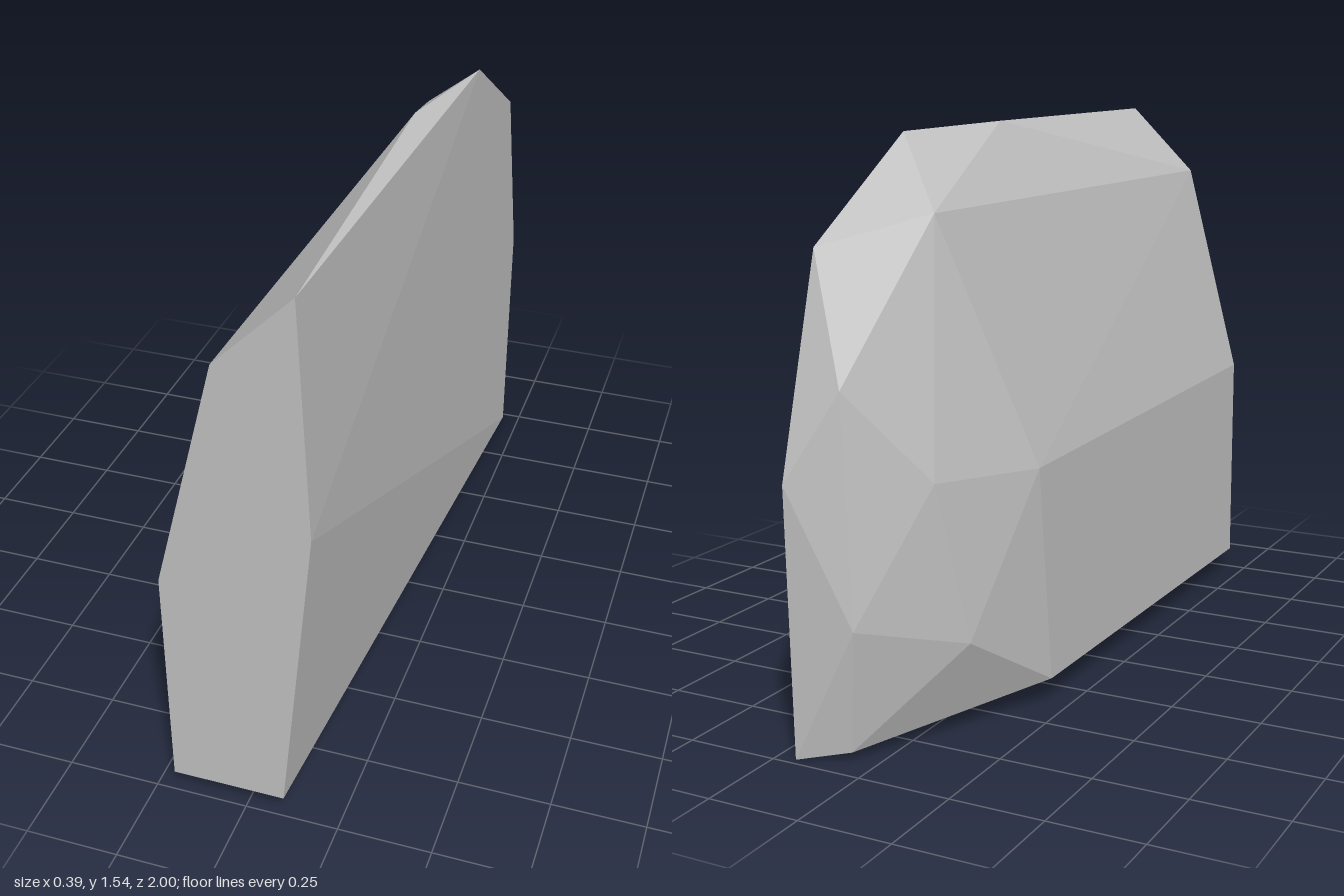
import * as THREE from 'three';
import { ConvexGeometry } from 'three/addons/geometries/ConvexGeometry.js';

const v = ([x, y, z]) => new THREE.Vector3(x, y, z);

export function createModel() {
  const group = new THREE.Group();
  group.name = 'rockSlab';
  const stone = new THREE.MeshStandardMaterial({ color: 0xbfbfbf, flatShading: true });
  stone.name = 'grey stone';

  // flat cut front end
  const frontCut = [
    [-0.197, 0.062, 1], [0.105, 0.062, 1], [0.196, 0.91, 1],
    [0.172, 1.54, 1], [-0.03, 1.34, 1], [-0.197, 0.70, 1],
  ];
  // outline of the broad flat side
  const broadSide = [
    [0.196, 0, -0.98], [0.196, 0.70, -1], [0.196, 1.25, -0.845], [0.196, 1.51, -0.43],
  ];
  // rounded, chipped shoulder and back end
  const chippedSide = [
    [0.123, 1.527, -0.04], [0, 1.32, -0.61],
    [0.075, 0.925, -0.93], [-0.08, 0.68, -0.76], [-0.197, 0.66, -0.43],
    [0.034, 0.346, -0.957], [-0.13, 0.256, -0.68],
    [0.07, 0.02, -0.92], [-0.197, 0.065, -0.36],
  ];

  // faceted solid wrapped around the corner points
  const points = [...frontCut, ...broadSide, ...chippedSide].map(v);
  const rock = new THREE.Mesh(new ConvexGeometry(points), stone);
  rock.name = 'rock';
  group.add(rock);
  return group;
}
